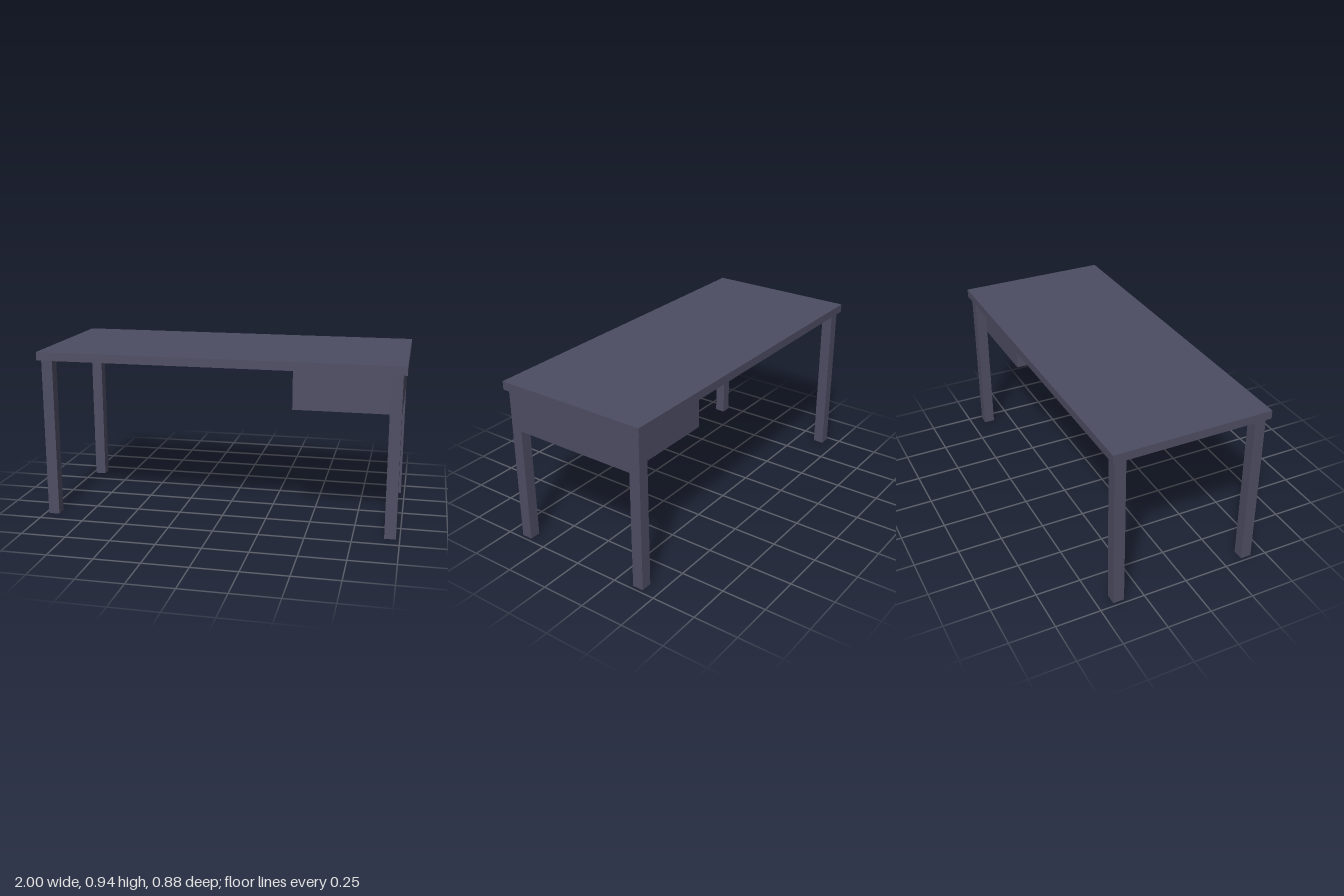
import * as THREE from 'three';

export function createModel() {
  const group = new THREE.Group();
  group.name = 'desk';
  const slate = new THREE.MeshStandardMaterial({ color: 0x4d4d63 });
  slate.name = 'slate';

  // Adds a box given its minimum and maximum corners
  function addBox(name, min, max) {
    const size = max.map((v, i) => v - min[i]);
    const mesh = new THREE.Mesh(new THREE.BoxGeometry(...size), slate);
    mesh.position.set(...max.map((v, i) => (v + min[i]) / 2));
    mesh.name = name;
    group.add(mesh);
  }

  const topY = 0.937, underY = 0.89;
  const halfDepth = 0.4375;
  const outerX = 0.98, outerZ = 0.419, leg = 0.062;

  // Table top
  addBox('tableTop', [-1, underY, -halfDepth], [1, topY, halfDepth]);

  // Four square legs, set slightly in from the edges
  for (const [side, sx] of [['Left', 1], ['Right', -1]]) {
    for (const [end, sz] of [['front', 1], ['back', -1]]) {
      const x = sx * (outerX - leg / 2), z = sz * (outerZ - leg / 2);
      addBox(`${end}${side}Leg`,
        [x - leg / 2, 0, z - leg / 2], [x + leg / 2, underY, z + leg / 2]);
    }
  }

  // Drawer box held between the left legs, flush with their outer faces
  const drawerZ = outerZ - leg;
  addBox('drawerBox', [0.405, 0.665, -drawerZ], [outerX, underY, drawerZ]);

  return group;
}
